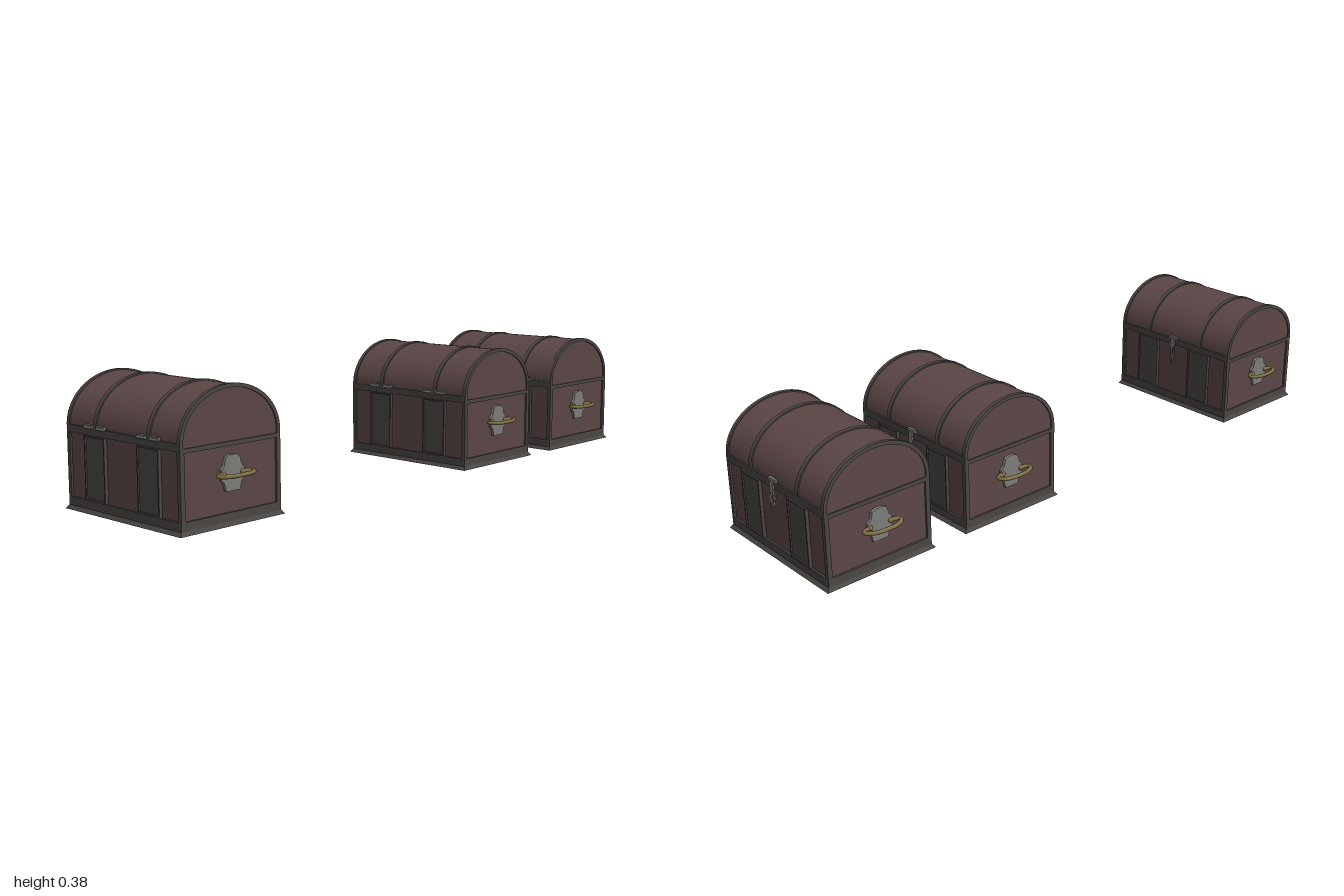
import * as THREE from 'three';

const mat = (color) => new THREE.MeshStandardMaterial({ color });
const wood = mat(0x5c4646), iron = mat(0x4a4643), steel = mat(0x7c7c7a), brass = mat(0x7d6f45);

function add(parent, name, geometry, material, x = 0, y = 0, z = 0) {
  const mesh = new THREE.Mesh(geometry, material);
  mesh.name = name;
  mesh.position.set(x, y, z);
  parent.add(mesh);
  return mesh;
}

function addBox(parent, name, material, w, h, d, x, y, z) {
  return add(parent, name, new THREE.BoxGeometry(w, h, d), material, x, y, z);
}

// Upright rectangle from y0 to y1
function rect(path, hw, y0, y1) {
  path.moveTo(-hw, y0);
  path.lineTo(hw, y0);
  path.lineTo(hw, y1);
  path.lineTo(-hw, y1);
  path.closePath();
  return path;
}

function frameGeometry(hw, y0, y1, innerHw, innerY0, innerY1, depth) {
  const shape = rect(new THREE.Shape(), hw, y0, y1);
  shape.holes.push(rect(new THREE.Path(), innerHw, innerY0, innerY1));
  return new THREE.ExtrudeGeometry(shape, { depth, bevelEnabled: false });
}

// Domed cross-section of the lid
function dome(path, hw, bottom, top) {
  const springY = 0.235;
  path.moveTo(-hw, bottom);
  path.lineTo(hw, bottom);
  path.lineTo(hw, springY);
  path.absellipse(0, springY, hw, top - springY, 0, Math.PI, false, 0);
  path.closePath();
  return path;
}

// Extrudes a lid section along x, centred on the given x
function lidSection(shape, width, x) {
  const g = new THREE.ExtrudeGeometry(shape, { depth: width, bevelEnabled: false, curveSegments: 32 });
  g.translate(0, 0, -width / 2);
  g.rotateY(Math.PI / 2);
  g.translate(x, 0, 0);
  return g;
}

function createBody() {
  const body = new THREE.Group();
  body.name = 'body';
  addBox(body, 'woodenBox', wood, 0.474, 0.225, 0.336, 0, 0.1175, 0);

  // Flared plinth
  const plinth = new THREE.BoxGeometry(0.5, 0.011, 0.366);
  const p = plinth.attributes.position;
  for (let i = 0; i < p.count; i++) {
    if (p.getY(i) > 0) p.setXYZ(i, p.getX(i) * 0.972, p.getY(i), p.getZ(i) * 0.955);
  }
  plinth.computeVertexNormals();
  add(body, 'plinth', plinth, iron, 0, 0.0055, 0);

  // Iron frames around the four walls, straps on the long ones
  for (const s of [1, -1]) {
    const wall = new THREE.Group();
    wall.name = s > 0 ? 'frontWall' : 'backWall';
    wall.rotation.y = s > 0 ? 0 : Math.PI;
    add(wall, 'wallFrame', frameGeometry(0.243, 0.01, 0.238, 0.23, 0.035, 0.217, 0.007), iron, 0, 0, 0.167);
    for (const x of [-0.115, 0.115]) {
      addBox(wall, 'strap', iron, 0.088, 0.178, 0.007, x, 0.126, 0.1705);
      add(wall, 'strapRim', frameGeometry(0.045, 0.035, 0.216, 0.041, 0.041, 0.212, 0.011), iron, x, 0, 0.167);
    }
    body.add(wall);

    const end = new THREE.Group();
    end.name = s > 0 ? 'leftEnd' : 'rightEnd';
    end.rotation.y = s * Math.PI / 2;
    add(end, 'endFrame', frameGeometry(0.173, 0.01, 0.225, 0.16, 0.035, 0.213, 0.007), iron, 0, 0, 0.236);
    end.add(createHandle());
    body.add(end);
  }
  return body;
}

// Bow handle on a shaped plate, facing +z
function createHandle() {
  const handle = new THREE.Group();
  handle.name = 'handle';
  const plate = new THREE.Shape([
    [-0.024, -0.047], [0.024, -0.047], [0.03, -0.025], [0.04, -0.015], [0.04, 0.012],
    [0.03, 0.022], [0.024, 0.044], [0.01, 0.05], [-0.01, 0.05], [-0.024, 0.044],
    [-0.03, 0.022], [-0.04, 0.012], [-0.04, -0.015], [-0.03, -0.025],
  ].map(([x, y]) => new THREE.Vector2(x, y)));
  add(handle, 'handlePlate', new THREE.ExtrudeGeometry(plate, { depth: 0.01, bevelEnabled: false }), steel, 0, 0.14, 0.236);
  const bow = new THREE.CatmullRomCurve3([
    [-0.034, 0.246], [-0.05, 0.248], [-0.06, 0.256], [-0.052, 0.27], [-0.03, 0.28], [0, 0.282],
    [0.03, 0.28], [0.052, 0.27], [0.06, 0.256], [0.05, 0.248], [0.034, 0.246],
  ].map(([x, z]) => new THREE.Vector3(x, 0.14, z)));
  add(handle, 'handleBow', new THREE.TubeGeometry(bow, 48, 0.006, 10), brass);
  for (const x of [-0.034, 0.034]) {
    add(handle, 'handleKnob', new THREE.SphereGeometry(0.008, 12, 8), brass, x, 0.14, 0.246);
  }
  return handle;
}

function createLid() {
  const lid = new THREE.Group();
  lid.name = 'lid';
  add(lid, 'woodenDome', lidSection(dome(new THREE.Shape(), 0.17, 0.22, 0.373), 0.478, 0), wood);

  // Iron hoops over the dome
  for (const [x, width] of [[-0.237, 0.012], [-0.115, 0.014], [0.115, 0.014], [0.237, 0.012]]) {
    const hoop = dome(new THREE.Shape(), 0.174, 0.219, 0.377);
    hoop.holes.push(dome(new THREE.Path(), 0.163, 0.225, 0.366));
    add(lid, 'hoop', lidSection(hoop, width, x), iron);
  }
  return lid;
}

// Pairs of hinge leaves at the front edge of the lid
function createHinges() {
  const hinges = new THREE.Group();
  hinges.name = 'hinges';
  for (const x of [-0.115, 0.115]) {
    for (const s of [-1, 1]) {
      addBox(hinges, 'hingeLeaf', steel, 0.036, 0.009, 0.008, x + s * 0.027, 0.242, 0.173);
      const pin = add(hinges, 'hingePin', new THREE.CylinderGeometry(0.004, 0.004, 0.034, 10), steel, x + s * 0.027, 0.239, 0.175);
      pin.rotation.z = Math.PI / 2;
    }
  }
  return hinges;
}

// Hasp, staple and pin at the back
function createLatch() {
  const latch = new THREE.Group();
  latch.name = 'latch';
  addBox(latch, 'latchMount', steel, 0.036, 0.01, 0.008, 0, 0.243, -0.173);
  const hasp = rect(new THREE.Shape(), 0.009, 0.165, 0.24);
  hasp.holes.push(rect(new THREE.Path(), 0.004, 0.175, 0.205));
  add(latch, 'hasp', new THREE.ExtrudeGeometry(hasp, { depth: 0.004, bevelEnabled: false }), steel, 0, 0, -0.18);
  const staple = add(latch, 'staple', new THREE.TorusGeometry(0.01, 0.0025, 8, 20), brass, 0, 0.19, -0.177);
  staple.rotation.y = Math.PI / 2;
  add(latch, 'latchPin', new THREE.CylinderGeometry(0.003, 0.002, 0.045, 8), steel, 0, 0.172, -0.183);
  return latch;
}

export function createModel() {
  const model = new THREE.Group();
  model.name = 'chests';
  for (const z of [0.817, -0.341, -0.817]) {
    const chest = new THREE.Group();
    chest.name = 'chest';
    chest.position.z = z;
    chest.add(createBody(), createLid(), createHinges(), createLatch());
    model.add(chest);
  }
  return model;
}
